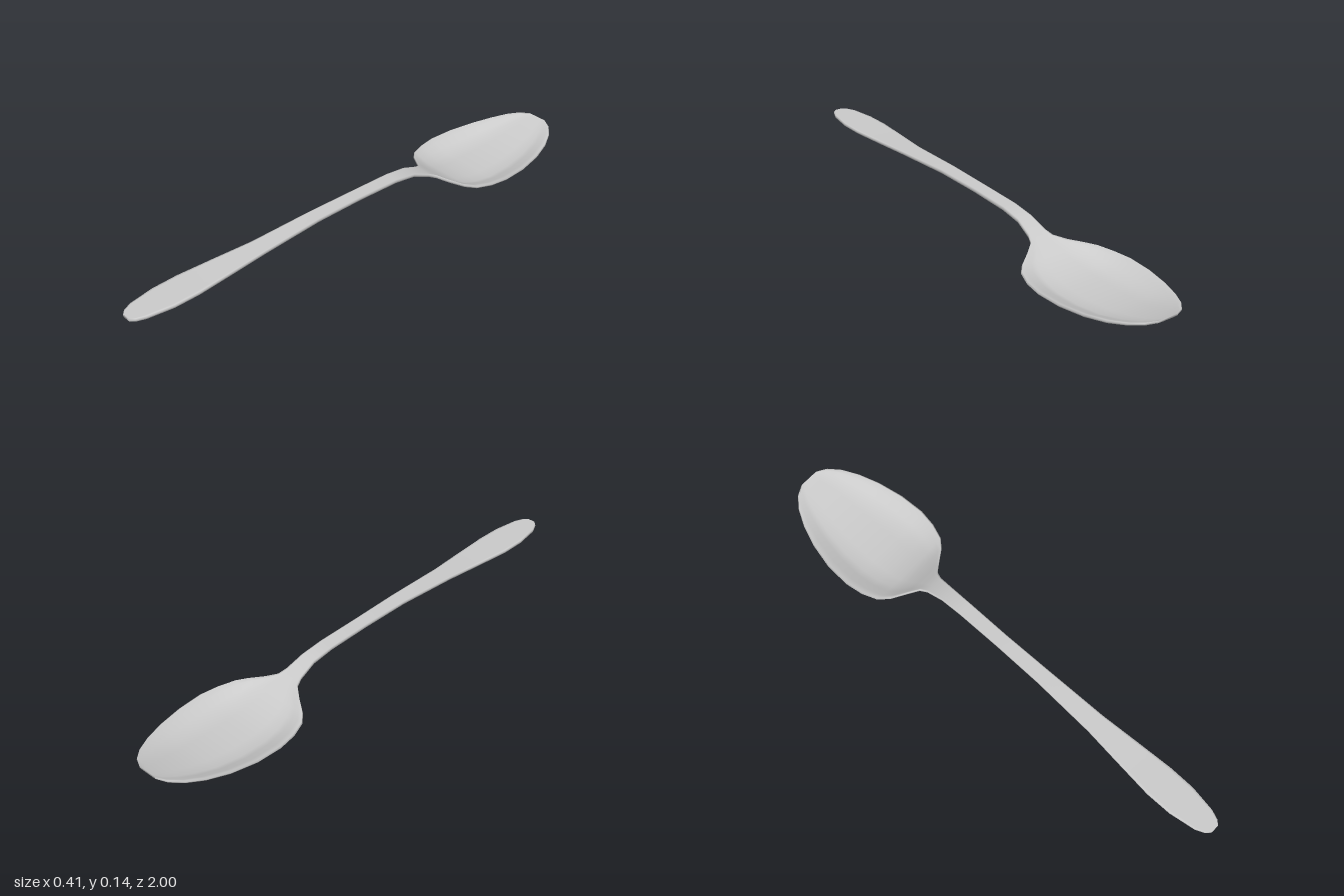
import * as THREE from 'three';

// Stations from handle end to bowl tip:
// [z, centre x, half width, top edge y, dish depth, thickness]
const STATIONS = [
  [1.0, -0.006, 0.016, 0.117, 0, 0.011],
  [0.985, -0.007, 0.032, 0.117, 0, 0.012],
  [0.95, -0.008, 0.047, 0.118, 0, 0.013],
  [0.85, -0.008, 0.063, 0.119, 0, 0.013],
  [0.75, -0.008, 0.064, 0.121, 0, 0.013],
  [0.6, -0.006, 0.052, 0.126, 0, 0.013],
  [0.45, -0.004, 0.039, 0.131, 0, 0.013],
  [0.2, -0.003, 0.030, 0.143, 0, 0.013],
  [0.0, -0.003, 0.027, 0.143, 0, 0.013],
  [-0.18, -0.002, 0.028, 0.140, 0, 0.013],
  [-0.27, -0.001, 0.030, 0.129, 0, 0.013],
  [-0.34, 0, 0.037, 0.102, 0, 0.013],
  [-0.37, 0, 0.049, 0.089, 0.001, 0.013],
  [-0.40, 0, 0.088, 0.074, 0.005, 0.013],
  [-0.435, -0.001, 0.138, 0.061, 0.012, 0.012],
  [-0.47, -0.002, 0.170, 0.055, 0.021, 0.012],
  [-0.53, -0.002, 0.192, 0.052, 0.032, 0.012],
  [-0.60, -0.002, 0.203, 0.052, 0.039, 0.012],
  [-0.70, -0.002, 0.198, 0.052, 0.038, 0.012],
  [-0.80, -0.001, 0.177, 0.055, 0.032, 0.012],
  [-0.88, 0, 0.148, 0.060, 0.020, 0.011],
  [-0.94, 0, 0.115, 0.067, 0.011, 0.010],
  [-0.98, 0, 0.079, 0.073, 0.004, 0.009],
  [-1.0, 0, 0.040, 0.077, 0.001, 0.008],
];
const NECK = 12; // station where the handle meets the bowl

// Cross-section samples: flat floor in the middle, straight sloping sides
const ACROSS = [-0.97, -0.85, -0.7, -0.55, -0.3, 0, 0.3, 0.55, 0.7, 0.85, 0.97];
const dish = (u) => Math.min(1, (1 - Math.abs(u)) / 0.45);

// Closed ring: top left to right, right rim, bottom right to left, left rim
function ring([z, cx, w, top, depth, thick]) {
  const point = (u, drop) => [cx + u * w, top - depth * dish(u) - drop, z];
  return [
    ...ACROSS.map((u) => point(u, 0)),
    point(1, thick / 2),
    ...[...ACROSS].reverse().map((u) => point(u, thick)),
    point(-1, thick / 2),
  ];
}

export function createModel() {
  const rings = STATIONS.map(ring);
  const n = rings[0].length;
  const last = rings.length - 1;

  // Skin between two stations
  const skin = (from, to) => {
    const index = [];
    for (let i = from; i < to; i++) {
      for (let j = 0; j < n; j++) {
        const k = (j + 1) % n;
        const a = i * n + j, b = i * n + k;
        index.push(a, b, a + n, b, b + n, a + n);
      }
    }
    return index;
  };
  const handleIndex = skin(0, NECK);
  const bowlIndex = skin(NECK, last);

  // End caps
  for (let j = 1; j < n - 1; j++) {
    handleIndex.push(0, j + 1, j);
    bowlIndex.push(last * n, last * n + j, last * n + j + 1);
  }

  // Normals are computed over the whole skin so the neck has no seam
  const whole = new THREE.BufferGeometry();
  whole.setAttribute('position', new THREE.Float32BufferAttribute(rings.flat(2), 3));
  whole.setIndex([...handleIndex, ...bowlIndex]);
  whole.computeVertexNormals();

  const material = new THREE.MeshStandardMaterial({ color: 0xcccccc });
  const group = new THREE.Group();
  group.name = 'spoon';
  const addPart = (name, index) => {
    const geometry = new THREE.BufferGeometry();
    geometry.setAttribute('position', whole.attributes.position.clone());
    geometry.setAttribute('normal', whole.attributes.normal.clone());
    geometry.setIndex(index);
    const mesh = new THREE.Mesh(geometry, material);
    mesh.name = name;
    group.add(mesh);
  };
  addPart('handle', handleIndex);
  addPart('bowl', bowlIndex);
  return group;
}
